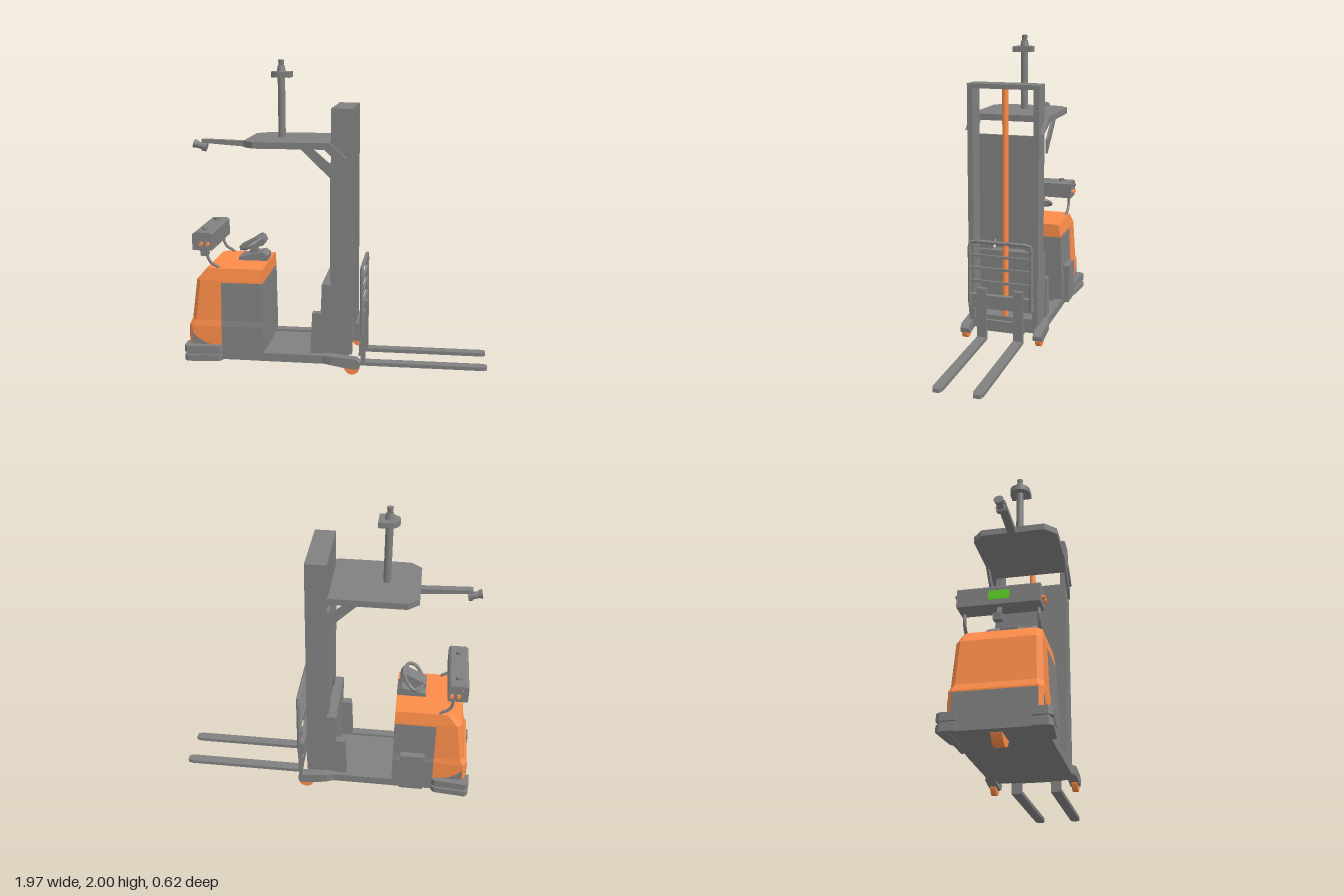
import * as THREE from 'three';

const mat = (color) => new THREE.MeshStandardMaterial({ color, flatShading: true });

export function createModel() {
  const root = new THREE.Group();
  const grey = mat(0x808080), orange = mat(0xfb8c49), green = mat(0x5fd020);

  const add = (name, geo, m = grey) => {
    const mesh = new THREE.Mesh(geo, m);
    mesh.name = name;
    root.add(mesh);
    return mesh;
  };
  // Box given by its limits
  const box = (name, x0, x1, y0, y1, z0, z1, m) => add(name,
    new THREE.BoxGeometry(x1 - x0, y1 - y0, z1 - z0)
      .translate((x0 + x1) / 2, (y0 + y1) / 2, (z0 + z1) / 2), m);
  const extrude = (pts, depth) => new THREE.ExtrudeGeometry(
    new THREE.Shape(pts.map(([a, b]) => new THREE.Vector2(a, b))), { depth, bevelEnabled: false });
  // Side outline (x, y) extruded from z0 to z1
  const side = (name, pts, z0, z1, m) => add(name, extrude(pts, z1 - z0).translate(0, 0, z0), m);
  // Plan outline (x, z) extruded from y0 to y1
  const plan = (name, pts, y0, y1, m) => add(name,
    extrude(pts.map(([x, z]) => [x, -z]), y1 - y0).rotateX(-Math.PI / 2).translate(0, y0, 0), m);
  // End outline (z, y) extruded from x0 to x1
  const end = (name, pts, x0, x1, m) => add(name,
    extrude(pts.map(([z, y]) => [-z, y]), x1 - x0).rotateY(Math.PI / 2).translate(x0, 0, 0), m);
  const post = (name, x, y0, y1, z, rTop, rBottom = rTop, m = grey) => add(name,
    new THREE.CylinderGeometry(rTop, rBottom, y1 - y0, 16).translate(x, (y0 + y1) / 2, z), m);
  const disc = (name, x, y, z, r, w, m, n = 24) => add(name,
    new THREE.CylinderGeometry(r, r, w, n).rotateX(Math.PI / 2).translate(x, y, z), m);
  const tube = (name, pts, r, tension = 0.5) => add(name, new THREE.TubeGeometry(
    new THREE.CatmullRomCurve3(pts.map((p) => new THREE.Vector3(...p)), false, 'catmullrom', tension), 32, r, 8));
  const mirrored = (f) => [1, -1].forEach(f);
  const span = (s, a, b) => (s > 0 ? [a, b] : [-b, -a]);

  // Chassis floor with side rails
  box('floor', -0.95, 0.0, 0.065, 0.105, -0.25, 0.25);
  box('frontCrossbar', -0.02, 0.08, 0.07, 0.165, -0.22, 0.22);
  mirrored((s) => {
    box('floorRail', -0.5, -0.02, 0.065, 0.12, ...span(s, 0.2, 0.26));
    const arm = side('outrigger', [[-0.08, 0.068], [-0.02, 0.066], [0.06, 0.052], [0.14, 0.042], [0.165, 0.055],
      [0.17, 0.085], [0.145, 0.11], [-0.02, 0.125], [-0.08, 0.12]], ...span(s, 0.222, 0.282)).geometry;
    // Narrow the arm where it joins the floor rail
    const p = arm.attributes.position;
    for (let i = 0; i < p.count; i++) {
      if (p.getX(i) < -0.05 && Math.abs(p.getZ(i)) > 0.25) p.setZ(i, s * 0.26);
    }
    arm.computeVertexNormals();
    disc('loadWheel', 0.115, 0.055, s * 0.255, 0.05, 0.035, orange);
  });
  disc('driveWheel', -0.83, 0.095, 0, 0.086, 0.062, orange, 32);

  // Power unit cover: chamfered plan sections [y, rear x, half width, chamfer]
  const rings = [[0.15, -0.962, 0.257, 0.025], [0.29, -0.962, 0.257, 0.025], [0.33, -0.942, 0.25, 0.03],
    [0.595, -0.908, 0.24, 0.03], [0.675, -0.838, 0.226, 0.03]];
  const pos = [], idx = [];
  for (const [y, x, w, c] of rings) {
    pos.push(-0.47, y, w, -0.47, y, -w, x + c, y, -w, x, y, c - w, x, y, w - c, x + c, y, w);
  }
  for (let r = 0; r < rings.length - 1; r++) {
    for (let i = 0; i < 6; i++) {
      const a = r * 6 + i, b = r * 6 + (i + 1) % 6;
      idx.push(a, b, b + 6, a, b + 6, a + 6);
    }
  }
  const top = (rings.length - 1) * 6;
  for (let i = 1; i < 5; i++) idx.push(top, top + i, top + i + 1, 0, i + 1, i);
  const cover = new THREE.BufferGeometry();
  cover.setAttribute('position', new THREE.Float32BufferAttribute(pos, 3));
  cover.setIndex(idx);
  cover.computeVertexNormals();
  add('bodyCover', cover, orange);

  // Grey lower body, its curved side edge and the battery panel
  plan('lowerBody', [[-0.72, 0.255], [-0.938, 0.255], [-0.961, 0.23], [-0.961, -0.23], [-0.938, -0.255], [-0.72, -0.255]],
    0.065, 0.16);
  box('rearPanel', -0.964, -0.95, 0.065, 0.28, -0.232, 0.232);
  mirrored((s) => side('lowerSidePanel', [[-0.938, 0.15], [-0.74, 0.15], [-0.74, 0.16], [-0.8, 0.162], [-0.85, 0.175],
    [-0.9, 0.205], [-0.938, 0.245]], ...span(s, 0.25, 0.2585)));
  end('batteryPanel', [[-0.2585, 0.065], [0.2585, 0.065], [0.2585, 0.29], [0.2515, 0.33], [0.242, 0.583],
    [-0.242, 0.583], [-0.2515, 0.33], [-0.2585, 0.29]], -0.742, -0.469);
  box('sideStepBox', -0.68, -0.52, 0.085, 0.36, -0.295, -0.25);

  // Corner bumpers in stacked layers
  mirrored((s) => {
    for (const [y0, y1, d] of [[0.062, 0.102, 0], [0.102, 0.118, 0.015], [0.118, 0.165, 0]]) {
      const pts = [[-0.985 + d, 0.2], [-0.985 + d, 0.285 - d], [-0.965, 0.308 - d], [-0.76, 0.29 - d],
        [-0.738, 0.27 - d], [-0.738, 0.24], [-0.93, 0.24], [-0.94, 0.2]];
      plan('cornerBumper', pts.map(([x, z]) => [x, s * z]), y0, y1);
    }
  });

  // Mast with back panel and lift cylinder
  mirrored((s) => box('mastColumn', -0.022, 0.112, 0.13, 1.715, ...span(s, 0.202, 0.238)));
  box('mastTop', -0.022, 0.112, 1.685, 1.715, -0.21, 0.21);
  end('mastPanel', [[-0.205, 0.6], [-0.115, 0.6], [-0.09, 0.71], [0.09, 0.71], [0.115, 0.6], [0.205, 0.6],
    [0.205, 1.375], [-0.205, 1.375]], -0.032, -0.016);
  post('liftCylinder', 0.055, 0.16, 1.685, 0, 0.02, 0.02, orange);

  // Operator backrest and side pads
  box('backrest', -0.085, -0.022, 0.13, 0.59, -0.235, 0.235);
  mirrored((s) => side('sidePad', [[-0.158, 0.13], [-0.08, 0.13], [-0.08, 0.4], [-0.145, 0.4]], ...span(s, 0.19, 0.245)));

  // Fork carriage, load guard and forks
  box('carriagePlate', 0.135, 0.172, 0.245, 0.335, -0.22, 0.22);
  box('carriageLowerBar', 0.15, 0.172, 0.09, 0.165, -0.16, 0.16);
  tube('guardFrame', [[0.172, 0.25, -0.21], [0.172, 0.6, -0.21], [0.172, 0.68, -0.21], [0.172, 0.7, -0.19], [0.172, 0.7, 0],
    [0.172, 0.7, 0.19], [0.172, 0.68, 0.21], [0.172, 0.6, 0.21], [0.172, 0.25, 0.21]], 0.012, 0.2);
  for (const y of [0.43, 0.52, 0.605]) box('guardBar', 0.164, 0.18, y - 0.008, y + 0.008, -0.21, 0.21);
  mirrored((s) => {
    box('forkShank', 0.16, 0.188, 0.025, 0.385, ...span(s, 0.093, 0.157));
    plan('forkBlade', [[0.16, 0.093], [0.955, 0.093], [0.985, 0.105], [0.985, 0.145], [0.955, 0.157], [0.16, 0.157]]
      .map(([x, z]) => [x, s * z]), 0.022, 0.046);
  });

  // Overhead guard with braces
  plan('overheadGuard', [[-0.58, -0.2], [-0.51, -0.265], [-0.03, -0.265], [-0.03, 0.265], [-0.51, 0.265], [-0.58, 0.2]],
    1.465, 1.506);
  mirrored((s) => {
    side('roofBracket', [[-0.06, 1.465], [0.08, 1.41], [-0.02, 1.5], [-0.06, 1.506]], ...span(s, 0.235, 0.265));
    side('roofStrut', [[-0.21, 1.468], [-0.005, 1.27], [-0.005, 1.36], [-0.13, 1.468]], ...span(s, 0.25, 0.264));
  });

  // Sensor pole on the roof
  post('sensorPole', -0.37, 1.5, 1.9, 0, 0.024);
  const plate = [[-0.305, -0.065], [-0.305, 0.065]];
  for (let i = 0; i <= 10; i++) {
    const a = Math.PI / 2 + (i / 10) * Math.PI;
    plate.push([-0.37 + 0.065 * Math.cos(a), 0.065 * Math.sin(a)]);
  }
  plan('sensorPlate', plate, 1.89, 1.926);
  post('sensorBase', -0.37, 1.926, 1.965, 0, 0.022, 0.03);
  post('sensorHead', -0.37, 1.965, 2.0, 0, 0.02, 0.016);

  // Rear arm with tilted camera
  side('cameraArm', [[-0.9, 1.465], [-0.58, 1.442], [-0.58, 1.478], [-0.9, 1.488]], -0.025, 0.025);
  const tilt = (mesh, x, y, a) => { mesh.position.set(x, y, 0); mesh.rotation.z = a; };
  const barrel = (name, r0, r1, w) => add(name, new THREE.CylinderGeometry(r0, r1, w, 12).rotateZ(Math.PI / 2));
  tilt(barrel('cameraBody', 0.022, 0.022, 0.07), -0.91, 1.443, -0.25);
  tilt(barrel('cameraLens', 0.03, 0.024, 0.025), -0.945, 1.455, -0.25);
  tilt(barrel('cameraMount', 0.032, 0.032, 0.026), -0.885, 1.438, -0.25);

  // Control console
  side('console', [[-0.925, 0.795], [-0.795, 0.795], [-0.795, 0.9], [-0.81, 0.912], [-0.91, 0.912], [-0.925, 0.9]],
    -0.235, 0.235);
  box('screen', -0.927, -0.92, 0.825, 0.88, -0.055, 0.065, green);
  mirrored((s) => {
    post('topKnob', -0.86, 0.91, 0.928, s * 0.147, 0.02);
    for (const x of [-0.865, -0.82]) disc('sideButton', x, 0.84, s * 0.242, 0.013, 0.022, orange, 12);
    tube('consoleSupport', [[-0.832, 0.8, s * 0.212], [-0.832, 0.75, s * 0.212], [-0.81, 0.71, s * 0.212],
      [-0.77, 0.685, s * 0.212], [-0.755, 0.665, s * 0.212]], 0.01);
  });
  disc('keySwitch', -0.885, 0.88, -0.242, 0.01, 0.02, grey, 12);
  side('lowerCameraBracket', [[-0.905, 0.735], [-0.89, 0.735], [-0.865, 0.798], [-0.885, 0.798]], -0.012, 0.012);
  tilt(box('lowerCamera', -0.025, 0.025, -0.02, 0.02, -0.025, 0.025), -0.91, 0.72, 0.1);

  // Steering handle
  post('handlePost', -0.5, 0.665, 0.7, 0, 0.02);
  side('handleBase', [[-0.66, 0.69], [-0.47, 0.69], [-0.47, 0.725], [-0.5, 0.747], [-0.56, 0.735], [-0.66, 0.712]],
    -0.065, 0.065);
  side('handleNeck', [[-0.6, 0.72], [-0.54, 0.73], [-0.55, 0.79], [-0.59, 0.78]], -0.03, 0.03);
  side('handleHead', [[-0.655, 0.752], [-0.5, 0.79], [-0.485, 0.815], [-0.5, 0.848], [-0.54, 0.842], [-0.66, 0.78]],
    -0.05, 0.05);
  mirrored((s) => tube('handleLoop', [[-0.64, 0.768, s * 0.04], [-0.62, 0.775, s * 0.09], [-0.585, 0.795, s * 0.14],
    [-0.54, 0.825, s * 0.12], [-0.51, 0.835, s * 0.04]], 0.012));

  return root;
}
